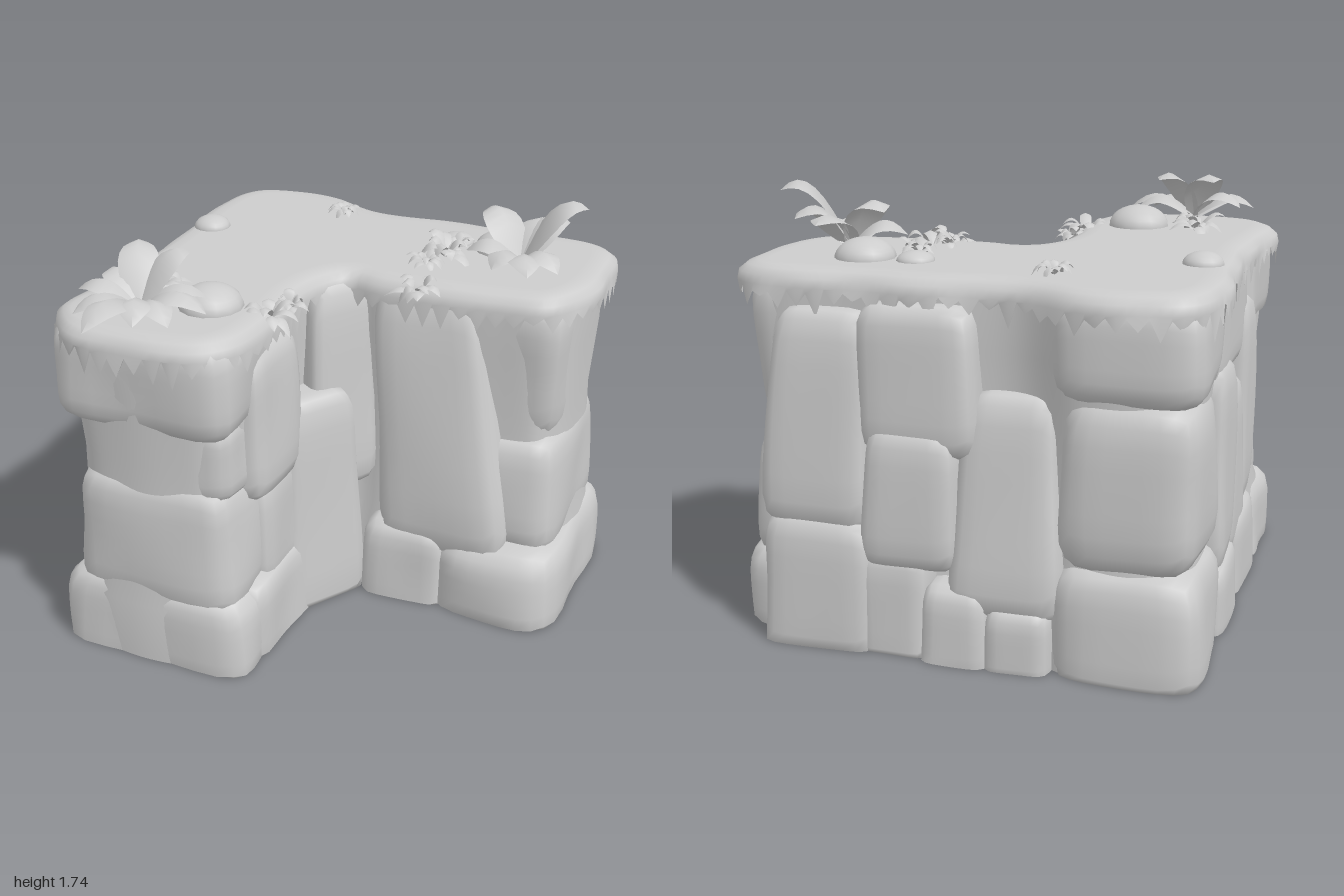
import * as THREE from 'three';
import { mergeVertices } from 'three/addons/utils/BufferGeometryUtils.js';

const stone = new THREE.MeshStandardMaterial({ color: 0xcccccc, side: THREE.DoubleSide });
stone.name = 'pale grey';

let seed = 7;
const rand = () => (seed = (seed * 16807) % 2147483647) / 2147483647;

function add(parent, name, geometry) {
  const mesh = new THREE.Mesh(geometry, stone);
  mesh.name = name;
  parent.add(mesh);
  return mesh;
}

// L-shaped plan outline of the plateau, as x, z pairs
const plan = [
  [-0.92, -0.8], [-0.84, -0.92], [-0.68, -0.97], [-0.45, -0.95], [-0.2, -0.84], [0.1, -0.86],
  [0.45, -0.85], [0.8, -0.84], [0.91, -0.74], [0.94, -0.5], [0.91, -0.25], [0.81, -0.11],
  [0.6, -0.07], [0.3, -0.05], [0.1, -0.06], [-0.03, -0.08], [-0.11, 0.03], [-0.14, 0.2],
  [-0.12, 0.45], [-0.14, 0.7], [-0.22, 0.82], [-0.4, 0.87], [-0.6, 0.88], [-0.82, 0.83],
  [-0.93, 0.7], [-0.93, 0.5], [-0.9, 0.2], [-0.9, -0.1], [-0.92, -0.35], [-0.94, -0.6],
];
const N = 180;
const curve = new THREE.CatmullRomCurve3(plan.map(([x, z]) => new THREE.Vector3(x, 0, z)), true);
const outline = curve.getSpacedPoints(N).slice(0, N);

// Outline moved inwards by a distance
function inset(d) {
  return outline.map((p, j) => {
    const t = outline[(j + 1) % N].clone().sub(outline[(j + N - 1) % N]).normalize();
    return new THREE.Vector3(p.x - t.z * d, 0, p.z + t.x * d);
  });
}

// Closed wall through rows of [inset, height or height function, scallop], bottom to top
function wall(rows) {
  const pos = [], idx = [];
  rows.forEach(([d, h, wave = 0], i) => {
    inset(d).forEach((p, j) => {
      const w = wave * Math.sin(j * Math.PI / 5), bump = 1 + w;
      pos.push(p.x * bump, typeof h === 'function' ? h(j) : h, p.z * bump);
      if (!i) return;
      const k = (j + 1) % N, a = (i - 1) * N + j, b = (i - 1) * N + k, c = i * N + j, e = i * N + k;
      idx.push(a, c, b, b, c, e);
    });
  });
  const g = new THREE.BufferGeometry();
  g.setAttribute('position', new THREE.Float32BufferAttribute(pos, 3));
  g.setIndex(idx);
  g.computeVertexNormals();
  return g;
}

// Flat L-shaped plate facing up (side = 1) or down (side = -1)
function plate(d, y, side) {
  const g = new THREE.ShapeGeometry(new THREE.Shape(inset(d).map(p => new THREE.Vector2(p.x, -side * p.z))));
  return g.rotateX(-side * Math.PI / 2).translate(0, y, 0);
}

// Rounded boulder filling a box; top narrows by taper and shifts by lean, turn spins it upright
function rock(parent, name, [x0, x1], [y0, y1], [z0, z1], { p = 7, taper = 0.04, lean = [0, 0], turn = 0 } = {}) {
  let g = new THREE.BoxGeometry(2, 2, 2, 8, 8, 8);
  g.deleteAttribute('normal');
  g.deleteAttribute('uv');
  g = mergeVertices(g);
  const a = g.attributes.position, v = new THREE.Vector3(), up = new THREE.Vector3(0, 1, 0);
  for (let i = 0; i < a.count; i++) {
    v.fromBufferAttribute(a, i);
    const n = (Math.abs(v.x) ** p + Math.abs(v.y) ** p + Math.abs(v.z) ** p) ** (1 / p);
    v.divideScalar(n);
    const t = (v.y + 1) / 2, s = 1 - taper * t, y = (y0 + y1) / 2 + v.y * (y1 - y0) / 2;
    v.set(v.x * s * (x1 - x0) / 2, 0, v.z * s * (z1 - z0) / 2).applyAxisAngle(up, turn);
    const x = (x0 + x1) / 2 + v.x + lean[0] * t, z = (z0 + z1) / 2 + v.z + lean[1] * t;
    const w = 1 + 0.03 * Math.sin(9 * x + 6 * y + 11 * z);
    a.setXYZ(i, x + (w - 1) * v.x, Math.max(0.02, y), z + (w - 1) * v.z);
  }
  g.computeVertexNormals();
  return add(parent, name, g);
}

// Folded, arching leaf growing from the origin
function leaf(angle, length, width, rise, droop) {
  const pos = [], idx = [], S = 8;
  for (let i = 0; i <= S; i++) {
    const t = i / S, w = width * Math.sin(Math.PI * Math.min(1, 0.06 + 0.94 * t)) ** 0.8;
    const r = length * t, y = rise * Math.sin(t * 1.9) - droop * t * t;
    for (const s of [-1, 0, 1]) {
      const side = s * w / 2;
      pos.push(r * Math.cos(angle) - side * Math.sin(angle), y - (s ? 0.2 * w : 0),
        r * Math.sin(angle) + side * Math.cos(angle));
    }
    if (i) for (let k = 0; k < 2; k++) {
      const a = (i - 1) * 3 + k, b = i * 3 + k;
      idx.push(a, a + 1, b, b, a + 1, b + 1);
    }
  }
  const g = new THREE.BufferGeometry();
  g.setAttribute('position', new THREE.Float32BufferAttribute(pos, 3));
  g.setIndex(idx);
  g.computeVertexNormals();
  return g;
}

// Plant made of leaves listed as [tip dx, tip dz, width, rise, droop]
function plant(parent, name, x, y, z, leaves) {
  const g = new THREE.Group();
  g.name = name;
  g.position.set(x, y, z);
  for (const [dx, dz, w, rise, droop] of leaves)
    add(g, 'leaf', leaf(Math.atan2(dz, dx), Math.hypot(dx, dz), w, rise, droop));
  parent.add(g);
}

function tuft(parent, x, y, z, size) {
  const leaves = [];
  for (let i = 0; i < 13; i++) {
    const a = i * 2.4, r = size * (0.5 + 0.5 * rand());
    leaves.push([r * Math.cos(a), r * Math.sin(a), size * 0.4, size * (0.4 + 0.5 * rand()), size * (0.2 + 0.6 * rand())]);
  }
  plant(parent, 'grassTuft', x, y, z, leaves);
}

export function createModel() {
  const model = new THREE.Group();
  model.name = 'rockyCliffCorner';

  // Solid core behind the boulders
  add(model, 'cliffCore', wall([[0.02, 0.02], [0.02, 0.28], [0.06, 0.4], [0.07, 0.9], [0.045, 1.2], [0.04, 1.44]]));
  add(model, 'underside', plate(0.02, 0.02, -1));

  // Boulders
  const cliff = new THREE.Group();
  cliff.name = 'boulders';
  model.add(cliff);
  const r = (name, x, y, z, o) => rock(cliff, name, x, y, z, o);

  // Front arm
  r('frontBase', [-0.95, -0.1], [-0.1, 0.36], [0.4, 0.86], { p: 6 });
  r('frontInnerBase', [-0.6, -0.08], [-0.1, 0.37], [0.1, 0.7]);
  r('frontMiddle', [-0.88, -0.15], [0.26, 0.84], [0.3, 0.84], { taper: 0.06 });
  r('frontRecess', [-0.82, -0.16], [0.76, 1.12], [0.3, 0.79]);
  r('frontCap', [-0.9, -0.15], [1.05, 1.47], [0.3, 0.84], { taper: -0.02 });
  r('innerUpperSlab', [-0.5, -0.1], [0.7, 1.34], [0.18, 0.62], { taper: 0.1 });
  r('innerLowerSlab', [-0.5, -0.11], [0.25, 0.78], [0.1, 0.56], { taper: 0.08 });
  r('cornerPillar', [-0.31, 0.01], [-0.1, 1.0], [-0.13, 0.31], { taper: 0.18, turn: -0.55 });
  r('cornerColumn', [-0.26, 0.03], [0.5, 1.44], [-0.25, 0.1], { taper: 0.12, turn: -0.6, lean: [-0.01, -0.04] });

  // Side arm
  r('sideInnerBase', [0.06, 0.46], [-0.1, 0.37], [-0.5, 0.04]);
  r('sideBase', [0.36, 0.95], [-0.1, 0.37], [-0.87, 0.06], { p: 5 });
  r('slantedSlab', [0.13, 0.73], [0.24, 1.45], [-0.5, 0.03], { taper: 0.22, lean: [-0.14, -0.05] });
  r('sideMiddle', [0.45, 0.89], [0.28, 0.84], [-0.83, -0.08], { p: 6, taper: 0.05 });
  r('sideUpper', [0.47, 0.86], [0.79, 1.47], [-0.79, -0.15], { p: 5, taper: -0.13 });
  r('endLowerRock', [0.32, 0.79], [-0.1, 0.54], [-0.98, -0.6]);
  r('endUpperRock', [0.34, 0.8], [0.48, 1.34], [-0.96, -0.55], { taper: 0.15, lean: [-0.03, 0.03] });

  // Back face
  r('backCornerBase', [-0.94, -0.36], [-0.1, 0.46], [-0.98, -0.4], { p: 5 });
  r('backCornerMiddle', [-0.92, -0.38], [0.42, 1.1], [-0.97, -0.4], { p: 5 });
  r('backCornerCap', [-0.92, -0.36], [1.05, 1.47], [-0.95, -0.4], { p: 5, taper: 0 });
  r('backBlock', [-0.38, -0.12], [-0.1, 0.27], [-0.98, -0.5]);
  r('backBlock', [-0.14, 0.14], [-0.1, 0.32], [-0.98, -0.5]);
  r('backBlock', [0.1, 0.4], [-0.1, 0.44], [-0.96, -0.5]);
  r('backSlab', [-0.42, 0.06], [0.2, 1.06], [-0.97, -0.5], { taper: 0.28, lean: [-0.02, 0.04] });
  r('backSlab', [-0.02, 0.38], [0.36, 0.92], [-0.97, -0.5], { taper: 0.1 });
  r('backSlab', [-0.08, 0.4], [0.8, 1.38], [-0.93, -0.5], { taper: 0.06 });

  // Outer side face
  r('outerBlock', [-0.94, -0.6], [-0.1, 0.3], [-0.45, 0.0]);
  r('outerBlock', [-0.94, -0.6], [-0.1, 0.37], [-0.04, 0.45]);
  r('outerSlab', [-0.93, -0.6], [0.26, 1.1], [-0.44, -0.08], { taper: 0.08 });
  r('outerSlab', [-0.92, -0.6], [0.2, 0.95], [-0.12, 0.2], { taper: 0.08 });
  r('outerSlab', [-0.92, -0.6], [0.33, 1.25], [0.14, 0.46], { taper: 0.06 });
  r('outerUpper', [-0.89, -0.6], [1.0, 1.44], [-0.45, 0.35]);

  // Grass sheet with a ragged hanging edge
  const tips = outline.map((_, j) => (j % 2 ? 1.385 + 0.03 * rand() : 1.3 + 0.08 * rand()));
  add(model, 'grassEdge', wall([[-0.012, j => tips[j]], [-0.012, 1.415, 0.008], [-0.004, 1.45, 0.008],
    [0.025, 1.475, 0.004], [0.06, 1.486], [0.1, 1.487]]));
  add(model, 'grassTop', plate(0.1, 1.487, 1));

  // Low mounds on the grass
  for (const [x, z, s, h] of [[0.47, -0.57, 0.12, 0.08], [0.26, -0.58, 0.075, 0.04], [-0.8, -0.33, 0.08, 0.05],
    [-0.37, 0.48, 0.13, 0.09]]) {
    const m = add(model, 'mound', new THREE.SphereGeometry(1, 14, 8, 0, Math.PI * 2, 0, Math.PI / 2));
    m.scale.set(s, h, s);
    m.position.set(x, 1.485, z);
  }

  // Broad-leaved plants: tip dx, tip dz, width, rise, droop
  plant(model, 'frontPlant', -0.58, 1.51, 0.66, [
    [-0.04, 0.34, 0.16, 0.16, 0.13], [-0.26, 0.02, 0.15, 0.15, 0.1], [0.29, 0.0, 0.15, 0.15, 0.12],
    [0.21, 0.15, 0.14, 0.13, 0.11], [-0.12, -0.22, 0.16, 0.23, 0.04], [0.12, -0.2, 0.16, 0.23, 0.04],
    [-0.17, 0.2, 0.15, 0.14, 0.11], [0.1, 0.22, 0.15, 0.15, 0.12], [-0.22, -0.12, 0.14, 0.17, 0.1],
    [0.24, -0.12, 0.14, 0.15, 0.11],
  ]);
  plant(model, 'sidePlant', 0.6, 1.5, -0.4, [
    [0.24, -0.13, 0.19, 0.3, 0.06], [0.04, -0.25, 0.18, 0.18, 0.06], [-0.22, 0.05, 0.18, 0.15, 0.1],
    [0.1, 0.23, 0.15, 0.14, 0.1], [-0.06, 0.2, 0.15, 0.14, 0.1], [0.2, 0.14, 0.15, 0.15, 0.11],
    [-0.2, -0.14, 0.18, 0.24, 0.07], [0.14, -0.22, 0.17, 0.22, 0.08],
  ]);

  // Small spiky tufts
  for (const [x, y, z, s] of [[0.29, 1.5, -0.36, 0.14], [0.28, 1.43, -0.07, 0.14], [-0.32, 1.49, -0.7, 0.09],
    [-0.64, 1.49, 0.39, 0.13], [-0.15, 1.44, 0.42, 0.13], [0.29, 1.49, -0.47, 0.09], [-0.13, 1.43, 0.28, 0.11],
    [0.24, 1.49, -0.26, 0.09]])
    tuft(model, x, y, z, s);

  return model;
}
